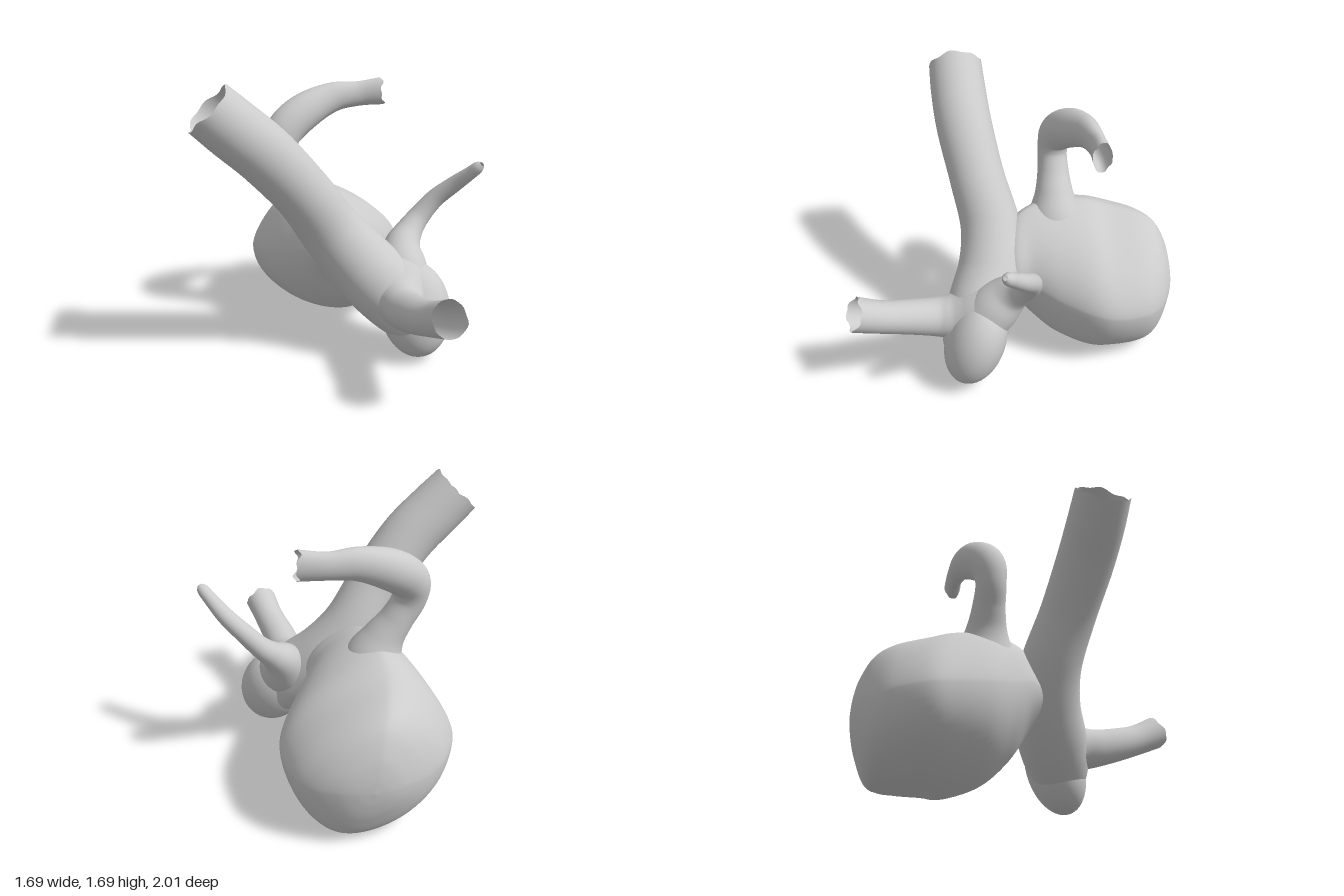
import * as THREE from 'three';

const material = new THREE.MeshStandardMaterial({ color: 0xcccccc, side: THREE.DoubleSide });
const V = (x, y, z) => new THREE.Vector3(x, y, z);

// Smooth skin over (rows + 1) closed loops of `cols` points
function skin(name, rows, cols, pointAt) {
  const pos = [], idx = [];
  for (let i = 0; i <= rows; i++) {
    for (let j = 0; j < cols; j++) {
      pos.push(...pointAt(i, (j / cols) * Math.PI * 2).toArray());
      if (i === rows) continue;
      const a = i * cols + j, b = i * cols + (j + 1) % cols;
      idx.push(a, b, a + cols, b, b + cols, a + cols);
    }
  }
  const g = new THREE.BufferGeometry();
  g.setAttribute('position', new THREE.Float32BufferAttribute(pos, 3));
  g.setIndex(idx);
  g.computeVertexNormals();
  const mesh = new THREE.Mesh(g, material);
  mesh.name = name;
  return mesh;
}

// Open tube through stations [x, y, z, radius, depth factor in z]; `ragged` roughens the far rim
function vessel(name, stations, ragged = 0, rows = 60, cols = 36) {
  const path = new THREE.CatmullRomCurve3(stations.map(s => V(s[0], s[1], s[2])), false, 'catmullrom');
  const sizes = new THREE.CatmullRomCurve3(stations.map(s => V(s[3], s[4] ?? 1, 0)), false, 'catmullrom');
  const frames = path.computeFrenetFrames(rows);
  return skin(name, rows, cols, (i, a) => {
    const t = path.getUtoTmapping(i / rows);
    const size = sizes.getPoint(t);
    const offset = V(0, 0, 0)
      .addScaledVector(frames.normals[i], size.x * Math.cos(a))
      .addScaledVector(frames.binormals[i], size.x * Math.sin(a));
    offset.z *= size.y;
    if (i === rows) {
      offset.addScaledVector(frames.tangents[i], ragged * (Math.sin(3 * a) + 0.6 * Math.sin(7 * a + 1)));
    }
    return path.getPoint(t).add(offset);
  });
}

// Bulging sac lofted along z from [z, left, right, bottom, top]
function buildSac() {
  const s = [
    [0.08, -0.13, 0.2, 0.46, 0.76],
    [0.0, -0.2, 0.24, 0.36, 0.85],
    [-0.1, -0.29, 0.26, 0.21, 0.9],
    [-0.25, -0.42, 0.35, 0.07, 0.92],
    [-0.45, -0.5, 0.45, 0.0, 0.9],
    [-0.6, -0.52, 0.47, 0.0, 0.85],
    [-0.78, -0.43, 0.43, 0.01, 0.81],
    [-0.89, -0.31, 0.34, 0.05, 0.75],
    [-0.96, -0.18, 0.22, 0.2, 0.63],
    [-0.99, -0.08, 0.12, 0.32, 0.52],
    [-1.0, 0.02, 0.02, 0.42, 0.42],
  ];
  const sides = new THREE.CatmullRomCurve3(s.map(r => V(r[1], r[2], r[0])), false, 'catmullrom');
  const heights = new THREE.CatmullRomCurve3(s.map(r => V(r[3], r[4], 0)), false, 'catmullrom');
  const rows = 70;
  return skin('sac', rows, 64, (i, a) => {
    const w = sides.getPoint(i / rows), h = heights.getPoint(i / rows);
    const rx = (w.y - w.x) / 2, ry = (h.y - h.x) / 2;
    const c = Math.cos(a), n = -Math.sin(a);
    // sloping shoulders above, round below; the crown leans to -x and the underside to +x
    const power = n > 0 ? 1.3 : 1;
    const across = Math.sign(c) * Math.abs(c) ** power;
    const up = Math.sign(n) * Math.abs(n) ** power;
    const x = (w.x + w.y) / 2 + rx * (across - 0.22 * n * n * n);
    const y = (h.x + h.y) / 2 + ry * up;
    // flattened base
    const base = 0.028 * (1 - THREE.MathUtils.smoothstep(w.z, -0.6, -0.45));
    return V(x, Math.max(y, base), w.z);
  });
}

export function createModel() {
  const model = new THREE.Group();
  model.name = 'branchingVesselWithSac';

  model.add(buildSac());

  // Wide trunk running diagonally from the junction to its open upper end
  model.add(vessel('mainVessel', [
    [0.49, 0.19, 0.31, 0.03],
    [0.455, 0.23, 0.30, 0.145],
    [0.38, 0.305, 0.275, 0.19],
    [0.25, 0.43, 0.21, 0.212],
    [0.09, 0.59, 0.14, 0.205],
    [-0.07, 0.79, 0.135, 0.183],
    [-0.23, 1.04, 0.20, 0.168],
    [-0.43, 1.285, 0.26, 0.17],
    [-0.60, 1.445, 0.285, 0.168],
    [-0.73, 1.565, 0.295, 0.162],
  ], 0.01, 90, 48));

  // Rounded lobe at the lower end of the trunk
  const lobe = new THREE.Mesh(new THREE.SphereGeometry(1, 48, 32), material);
  lobe.name = 'endLobe';
  lobe.scale.set(0.213, 0.292, 0.178);
  lobe.quaternion.setFromUnitVectors(V(0, 1, 0), V(-0.1, 0.93, -0.33).normalize());
  lobe.position.set(0.427, 0.303, 0.265);
  model.add(lobe);

  // Branch reaching forward
  model.add(vessel('frontBranch', [
    [0.32, 0.42, 0.22, 0.21],
    [0.315, 0.41, 0.32, 0.172],
    [0.315, 0.41, 0.41, 0.136],
    [0.32, 0.42, 0.50, 0.118],
    [0.35, 0.46, 0.64, 0.106],
    [0.40, 0.52, 0.80, 0.097],
    [0.445, 0.595, 0.95, 0.103],
  ], 0.01));

  // Thin tapering branch curving up to the left
  model.add(vessel('thinBranch', [
    [0.38, 0.42, 0.22, 0.15],
    [0.37, 0.53, 0.13, 0.148],
    [0.385, 0.625, 0.05, 0.115],
    [0.44, 0.705, -0.01, 0.083],
    [0.51, 0.785, -0.045, 0.066],
    [0.60, 0.89, -0.045, 0.057],
    [0.70, 0.99, 0.0, 0.05],
    [0.78, 1.08, 0.065, 0.04],
    [0.82, 1.13, 0.10, 0.034],
    [0.835, 1.15, 0.115, 0.014],
  ]));

  // Hooked branch rising from the crown of the sac, flattened toward its open end
  model.add(vessel('hookedBranch', [
    [-0.10, 0.70, -0.27, 0.2],
    [-0.13, 0.82, -0.27, 0.165],
    [-0.18, 0.93, -0.27, 0.12],
    [-0.25, 1.04, -0.27, 0.097],
    [-0.315, 1.16, -0.27, 0.1, 0.9],
    [-0.305, 1.28, -0.29, 0.115, 0.9],
    [-0.18, 1.385, -0.35, 0.115, 0.9],
    [0.0, 1.46, -0.41, 0.094, 0.75],
    [0.17, 1.475, -0.44, 0.078, 0.65],
    [0.325, 1.49, -0.44, 0.086, 0.6],
  ], 0.01, 80));

  return model;
}
